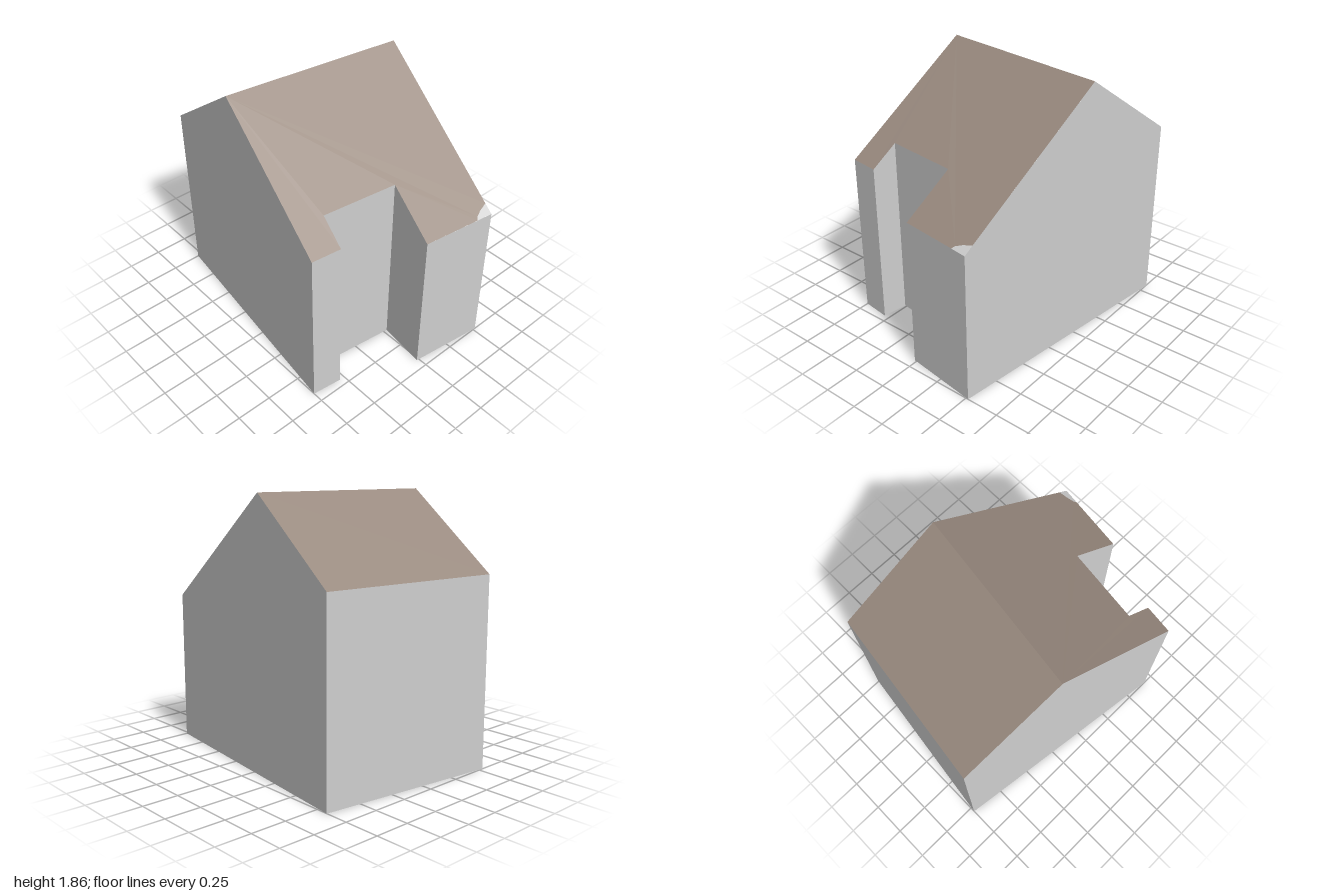
import * as THREE from 'three';

// Plan corners as [x, z], clockwise seen from above
const backLeft = [-0.835, -0.752], ridgeBack = [-0.092, -0.657], backRight = [1, -0.518];
const ridgeFront = [-0.265, 0.63], frontLeft = [-1, 0.535];
const rightSide = [[0.93, 0.017], [0.583, -0.027], [0.514, 0.515], [0.70, 0.54], [0.674, 0.75]];
const footprint = [backLeft, ridgeBack, backRight, ...rightSide, ridgeFront, frontLeft];

// Pale patch at the back right eave corner
const patchEdge = [[0.984, -0.4], [0.967, -0.415], [0.95, -0.46], [0.935, -0.526]];

// Gable roof height: falls evenly away from the slightly turned ridge
const roofHeight = (x, z) => 1.866 - 0.716 * Math.abs(0.992 * x + 0.127 * z + 0.178);

// Flat upward-facing polygon lifted onto the roof
function roofSurface(points) {
  const shape = new THREE.Shape(points.map(([x, z]) => new THREE.Vector2(x, -z)));
  const geo = new THREE.ShapeGeometry(shape).rotateX(-Math.PI / 2).toNonIndexed();
  const p = geo.attributes.position;
  for (let i = 0; i < p.count; i++) p.setY(i, roofHeight(p.getX(i), p.getZ(i)));
  geo.computeVertexNormals();
  return geo;
}

// One upright quad per plan edge, reaching up to the roof
function wallSurface() {
  const pos = [];
  footprint.forEach(([ax, az], i) => {
    const [bx, bz] = footprint[(i + 1) % footprint.length];
    const a0 = [ax, 0, az], b0 = [bx, 0, bz];
    const a1 = [ax, roofHeight(ax, az), az], b1 = [bx, roofHeight(bx, bz), bz];
    pos.push(...b0, ...a0, ...a1, ...b0, ...a1, ...b1);
  });
  const geo = new THREE.BufferGeometry();
  geo.setAttribute('position', new THREE.Float32BufferAttribute(pos, 3));
  geo.computeVertexNormals();
  return geo;
}

export function createModel() {
  const wall = new THREE.MeshStandardMaterial({ color: 0xcfcfcf });
  wall.name = 'paleGreyWall';
  const roof = new THREE.MeshStandardMaterial({ color: 0x998a7f });
  roof.name = 'brownRoof';

  const house = new THREE.Group();
  house.name = 'house';
  const add = (name, geo, mat) => {
    const mesh = new THREE.Mesh(geo, mat);
    mesh.name = name;
    house.add(mesh);
  };

  add('walls', wallSurface(), wall);

  // Floor faces down
  const floor = new THREE.Shape(footprint.map(([x, z]) => new THREE.Vector2(x, z)));
  add('floor', new THREE.ShapeGeometry(floor).rotateX(Math.PI / 2), wall);

  // Two roof slopes, the right one cut around the corner patch
  add('leftRoofSlope', roofSurface([backLeft, ridgeBack, ridgeFront, frontLeft]), roof);
  add('rightRoofSlope', roofSurface([ridgeBack, ...[...patchEdge].reverse(), ...rightSide, ridgeFront]), roof);
  add('roofCornerPatch', roofSurface([backRight, ...patchEdge]), wall);

  return house;
}
